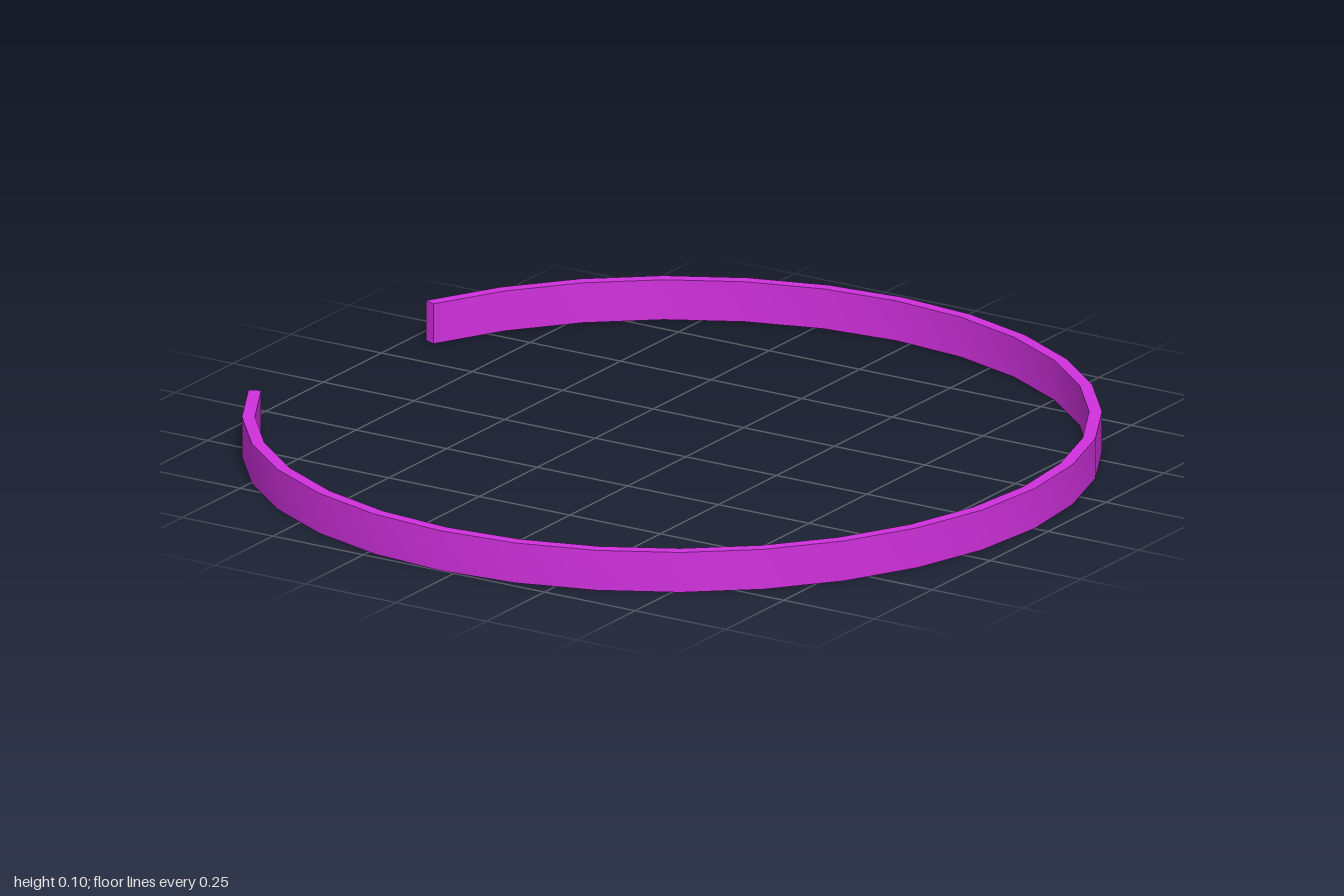
import * as THREE from 'three';
import { toCreasedNormals } from 'three/addons/utils/BufferGeometryUtils.js';

const OUTER = 1, INNER = 0.97, HEIGHT = 0.098;
const END = THREE.MathUtils.degToRad(157.5); // the band spans 315 degrees, open towards -x

export function createModel() {
  const model = new THREE.Group();
  model.name = 'openRing';

  // Outline of the open band: outer arc out, inner arc back
  const outline = new THREE.Shape();
  outline.absarc(0, 0, OUTER, -END, END, false);
  outline.absarc(0, 0, INNER, END, -END, true);
  outline.closePath();

  // 14 curve segments give 28 straight steps of 11.25 degrees per arc
  const extruded = new THREE.ExtrudeGeometry(outline, { depth: HEIGHT, bevelEnabled: false, curveSegments: 14 });
  extruded.rotateX(-Math.PI / 2);
  extruded.translate((OUTER * -Math.cos(END) - OUTER) / 2, 0, 0);

  const band = new THREE.Mesh(
    toCreasedNormals(extruded, 0.5),
    new THREE.MeshStandardMaterial({ color: 0xd030dd })
  );
  band.name = 'band';
  model.add(band);
  return model;
}
